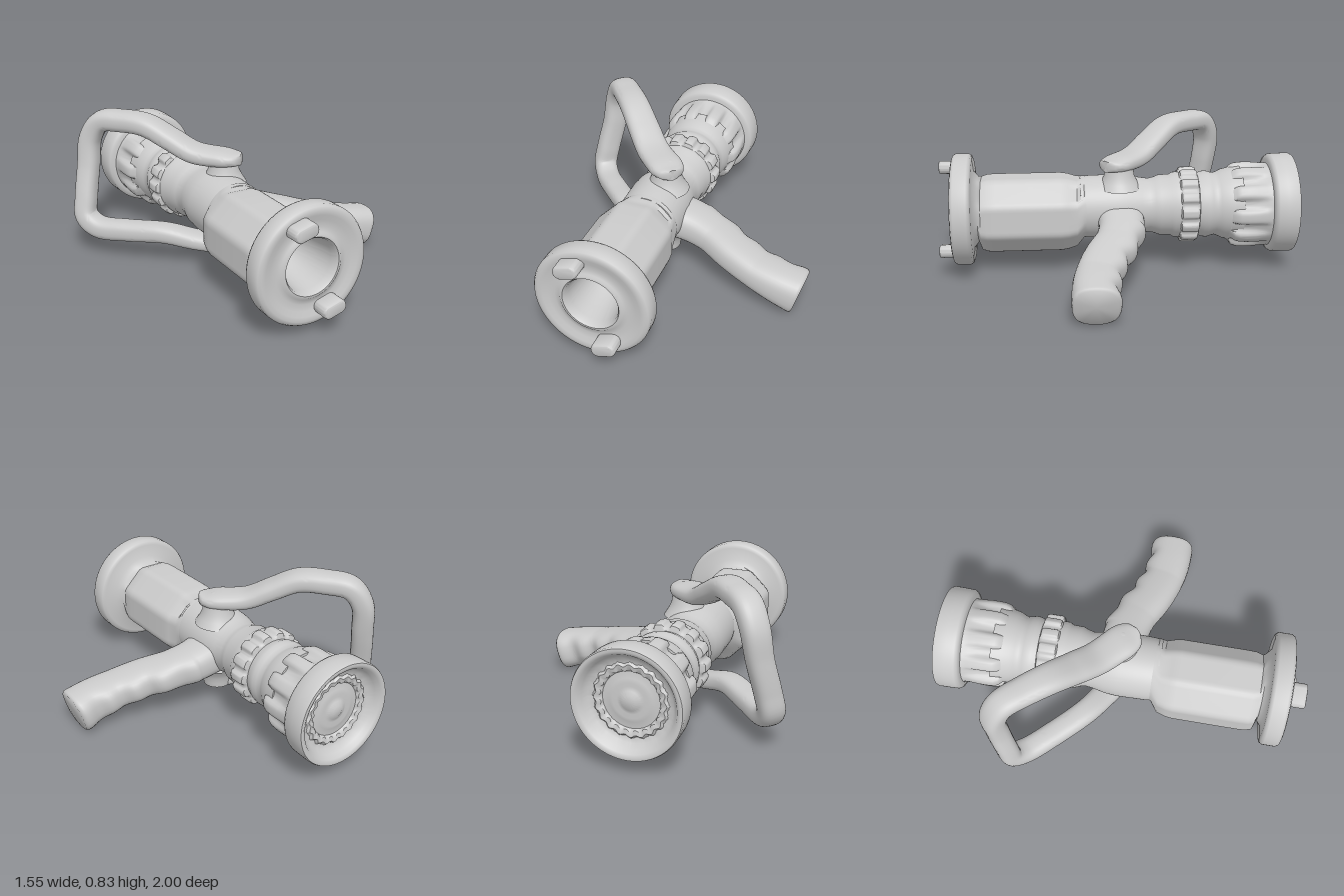
import * as THREE from 'three';
import { mergeVertices, toCreasedNormals } from 'three/addons/utils/BufferGeometryUtils.js';

const material = new THREE.MeshStandardMaterial({ color: 0xcccccc, side: THREE.DoubleSide });
const AX = -0.133, AY = 0.362; // axis of the barrel, running along z

function addMesh(parent, name, geometry) {
  const mesh = new THREE.Mesh(geometry, material);
  mesh.name = name;
  parent.add(mesh);
  return mesh;
}

// Turned part along z from [radius, z] points; shape(r, z, angle) may change the radius,
// shift(r, z) may move a ring off the axis
function turned(profile, { shape = r => r, shift = () => [0, 0], segments = 96 } = {}) {
  const pts = profile.map(([r, z]) => new THREE.Vector2(r, z));
  let g = new THREE.LatheGeometry(pts, segments).rotateX(Math.PI / 2);
  g.deleteAttribute('uv');
  g.deleteAttribute('normal');
  g = mergeVertices(g, 1e-5);
  const p = g.attributes.position;
  for (let i = 0; i < p.count; i++) {
    const x = p.getX(i), y = p.getY(i), z = p.getZ(i);
    const r = Math.hypot(x, y), a = Math.atan2(y, x), s = r > 1e-4 ? shape(r, z, a) : 0;
    const [dx, dy] = shift(r, z);
    p.setXY(i, AX + dx + Math.cos(a) * s, AY + dy + Math.sin(a) * s);
  }
  return toCreasedNormals(g, 0.75);
}

// Rounded-box section swept along a curve; size(t, angle) gives [half width along ref, half depth]
function swept(points, ref, size, { steps = 90, sides = 32, power = 0.75, end = 0.03, tip = 0.84 } = {}) {
  const curve = new THREE.CatmullRomCurve3(points.map(p => new THREE.Vector3(...p)));
  const pos = [], index = [];
  const sp = v => Math.sign(v) * Math.abs(v) ** power;
  for (let i = 0; i <= steps; i++) {
    const t = i / steps, c = curve.getPointAt(t), T = curve.getTangentAt(t);
    const B = new THREE.Vector3(...ref).addScaledVector(T, -T.dot(new THREE.Vector3(...ref))).normalize();
    const N = T.clone().cross(B);
    const d = Math.min(1, Math.min(t, 1 - t) / end);
    const round = tip + (1 - tip) * Math.sqrt(1 - (1 - d) ** 2);
    for (let j = 0; j < sides; j++) {
      const a = j / sides * Math.PI * 2, [w, h] = size(t, a);
      const v = c.clone().addScaledVector(B, sp(Math.cos(a)) * w * round)
        .addScaledVector(N, sp(Math.sin(a)) * h * Math.max(round, 0.8));
      pos.push(v.x, v.y, v.z);
      if (i < steps) {
        const k = i * sides + j, n = i * sides + (j + 1) % sides;
        index.push(k, n, n + sides, k, n + sides, k + sides);
      }
    }
  }
  const first = pos.length / 3, last = steps * sides;
  for (const t of [0, 1]) pos.push(...curve.getPointAt(t).toArray());
  for (let j = 0; j < sides; j++) {
    const n = (j + 1) % sides;
    index.push(first, n, j, first + 1, last + j, last + n);
  }
  const g = new THREE.BufferGeometry();
  g.setAttribute('position', new THREE.Float32BufferAttribute(pos, 3));
  g.setIndex(index);
  return toCreasedNormals(g, 0.9);
}

export function createModel() {
  const model = new THREE.Group();
  model.name = 'hoseNozzle';

  // Inlet: faceted barrel set slightly low, round flange and open bore in one skin
  const onBarrel = (r, z) => z > 0.22 && z < 0.775 && r > 0.18;
  const facet = (r, z, a) => {
    const step = Math.PI / 4, b = a - Math.round(a / step) * step;
    return onBarrel(r, z) ? r * Math.min(1 / Math.cos(b), 1.06) : r;
  };
  addMesh(model, 'inletBarrel', turned([
    [0, 0.12], [0.155, 0.12], [0.176, 0.19], [0.19, 0.23], [0.205, 0.28], [0.21, 0.32], [0.21, 0.5],
    [0.21, 0.68], [0.208, 0.73], [0.197, 0.765], [0.185, 0.78], [0.215, 0.803], [0.285, 0.808], [0.305, 0.815],
    [0.313, 0.83], [0.313, 0.9], [0.304, 0.915], [0.285, 0.921], [0.262, 0.918], [0.235, 0.908],
    [0.2, 0.904], [0.175, 0.908], [0.165, 0.917], [0.152, 0.918], [0.143, 0.905], [0.137, 0.87],
    [0.13, 0.8], [0.12, 0.72], [0.105, 0.65], [0.085, 0.59], [0.055, 0.55], [0, 0.535],
  ], { shape: facet, shift: (r, z) => onBarrel(r, z) ? [-0.024, -0.032] : [0, 0] }));

  // Two coupling lugs on the flange face
  [[-0.22, 0.583, 0.27], [-0.046, 0.145, 0.27]].forEach(([x, y, turn], i) => {
    const s = new THREE.Shape();
    s.absellipse(-0.032, 0, 0.022, 0.024, Math.PI / 2, Math.PI * 1.5);
    s.absellipse(0.032, 0, 0.022, 0.024, -Math.PI / 2, Math.PI / 2);
    const g = new THREE.ExtrudeGeometry(s, {
      depth: 0.1, bevelSize: 0.012, bevelThickness: 0.013, bevelSegments: 4, curveSegments: 8,
    });
    const lug = addMesh(model, i ? 'lowerLug' : 'upperLug', toCreasedNormals(g, 0.8));
    lug.position.set(x, y, 0.885);
    lug.rotation.z = turn;
  });

  // Valve body between the barrel and the adjusting ring
  addMesh(model, 'valveBody', turned([
    [0, -0.36], [0.186, -0.36], [0.186, -0.32], [0.174, -0.3], [0.172, -0.24], [0.16, -0.21],
    [0.153, -0.18], [0.16, -0.13], [0.174, -0.07], [0.18, 0], [0.178, 0.08], [0.176, 0.16],
    [0.17, 0.21], [0, 0.21],
  ]));

  // Adjusting ring with broad rounded lugs
  addMesh(model, 'adjustingRing', turned([
    [0.15, -0.458], [0.178, -0.455], [0.197, -0.447], [0.203, -0.433], [0.203, -0.367], [0.197, -0.353],
    [0.178, -0.345], [0.15, -0.342],
  ], { shape: (r, z, a) => r + (r > 0.19 ? 0.011 * Math.tanh(2.5 * (Math.cos(14 * a) + 0.3)) : 0), segments: 196 }));

  // Neck with shallow grooves
  addMesh(model, 'neck', turned([
    [0, -0.7], [0.215, -0.7], [0.207, -0.64], [0.198, -0.6], [0.186, -0.575], [0.178, -0.555], [0.183, -0.53],
    [0.19, -0.51], [0.188, -0.485], [0.18, -0.465], [0.175, -0.44], [0, -0.44],
  ]));

  // Ribbed bumper: ribs stand out towards the front and blend into the cup
  const rib = (r, z, a) => {
    if (z < -0.85 || z > -0.63) return r;
    const v = Math.tanh(2 * (Math.cos(10 * a + 0.6) + 0.25));
    return r + 0.018 * v * Math.min(1, (z + 0.87) / 0.12);
  };
  addMesh(model, 'ribbedBumper', turned([
    [0, -0.88], [0.245, -0.88], [0.237, -0.855], [0.231, -0.82], [0.228, -0.77], [0.226, -0.72],
    [0.223, -0.68], [0.214, -0.655], [0.202, -0.63], [0.185, -0.605], [0, -0.6],
  ], { shape: rib, shift: () => [0, -0.008], segments: 160 }));

  // Outlet cup with its recessed face, softly toothed ring and centre boss
  const teeth = (r, z, a) => r > 0.14 && r < 0.19 && z < -0.93
    ? r + 0.006 * Math.cos(20 * a) : r;
  addMesh(model, 'outletCup', turned([
    [0, -0.95], [0.03, -0.949], [0.05, -0.938], [0.07, -0.93], [0.09, -0.936], [0.11, -0.928],
    [0.145, -0.925], [0.154, -0.94], [0.178, -0.945], [0.19, -0.932], [0.215, -0.938], [0.235, -0.965],
    [0.25, -0.99], [0.266, -0.999], [0.279, -0.997], [0.284, -0.985], [0.283, -0.93], [0.281, -0.88],
    [0.272, -0.865], [0.25, -0.858], [0.2, -0.855],
  ], { shape: teeth, segments: 160 }));

  // Bail handle, swung back to the right side, with broad rounded ends over the pivots
  addMesh(model, 'bailHandle', swept([
    [-0.025, 0.618, 0.07], [-0.09, 0.62, 0], [-0.21, 0.635, -0.115], [-0.305, 0.7, -0.215],
    [-0.4, 0.765, -0.32], [-0.49, 0.773, -0.435], [-0.575, 0.755, -0.54], [-0.625, 0.66, -0.585],
    [-0.652, 0.5, -0.575], [-0.688, 0.33, -0.545], [-0.703, 0.22, -0.52], [-0.66, 0.165, -0.455],
    [-0.54, 0.165, -0.32], [-0.38, 0.175, -0.16], [-0.24, 0.138, -0.07], [-0.12, 0.115, 0], [-0.08, 0.113, 0.04],
  ], [0.71, 0, -0.71], t => {
    const k = Math.abs(t - 0.5) * 2;
    return [0.068 + 0.02 * Math.min(1, Math.max(0, 1.5 - t * 3)) + 0.016 * k ** 6, 0.06 - 0.02 * k ** 3];
  }, { steps: 140, end: 0.055, tip: 0.25 }));

  // Necks joining the bail ends to the valve body
  for (const [name, y0, y1] of [['upperPivot', 0.48, 0.625], ['lowerPivot', 0.22, 0.09]]) {
    const pts = [[0.125, 0], [0.102, 0.25], [0.085, 0.5], [0.08, 0.75], [0.075, 0.95], [0, 1]]
      .map(([r, f]) => new THREE.Vector2(r, y0 + f * (y1 - y0)));
    if (y1 < y0) pts.reverse();
    addMesh(model, name, toCreasedNormals(new THREE.LatheGeometry(pts, 40), 0.7)).position.set(-0.09, 0, -0.01);
  }

  // Small pivot pin on the top of the bail
  const pin = addMesh(model, 'pivotPin', new THREE.SphereGeometry(0.032, 20, 12));
  pin.position.set(-0.075, 0.65, -0.01);
  pin.scale.y = 0.4;

  // Hand grip with finger swells along its back
  addMesh(model, 'handGrip', swept([
    [-0.08, 0.32, -0.01], [0.08, 0.285, -0.01], [0.2, 0.257, 0.02], [0.35, 0.217, 0.092],
    [0.5, 0.175, 0.142], [0.62, 0.143, 0.163], [0.742, 0.107, 0.168],
  ], [0, 0, 1], (t, a) => {
    const back = Math.max(0, -Math.cos(a));
    const swell = t > 0.2 ? 0.01 * back * Math.cos((t - 0.4) * Math.PI * 2 / 0.19) : 0;
    const flare = 0.02 * Math.max(0, 1 - t / 0.35);
    const butt = 0.028 * Math.max(0, (t - 0.7) / 0.3);
    return [0.12 + swell + flare * 0.7, 0.088 + flare + butt];
  }, { tip: 0.9 }));

  return model;
}
